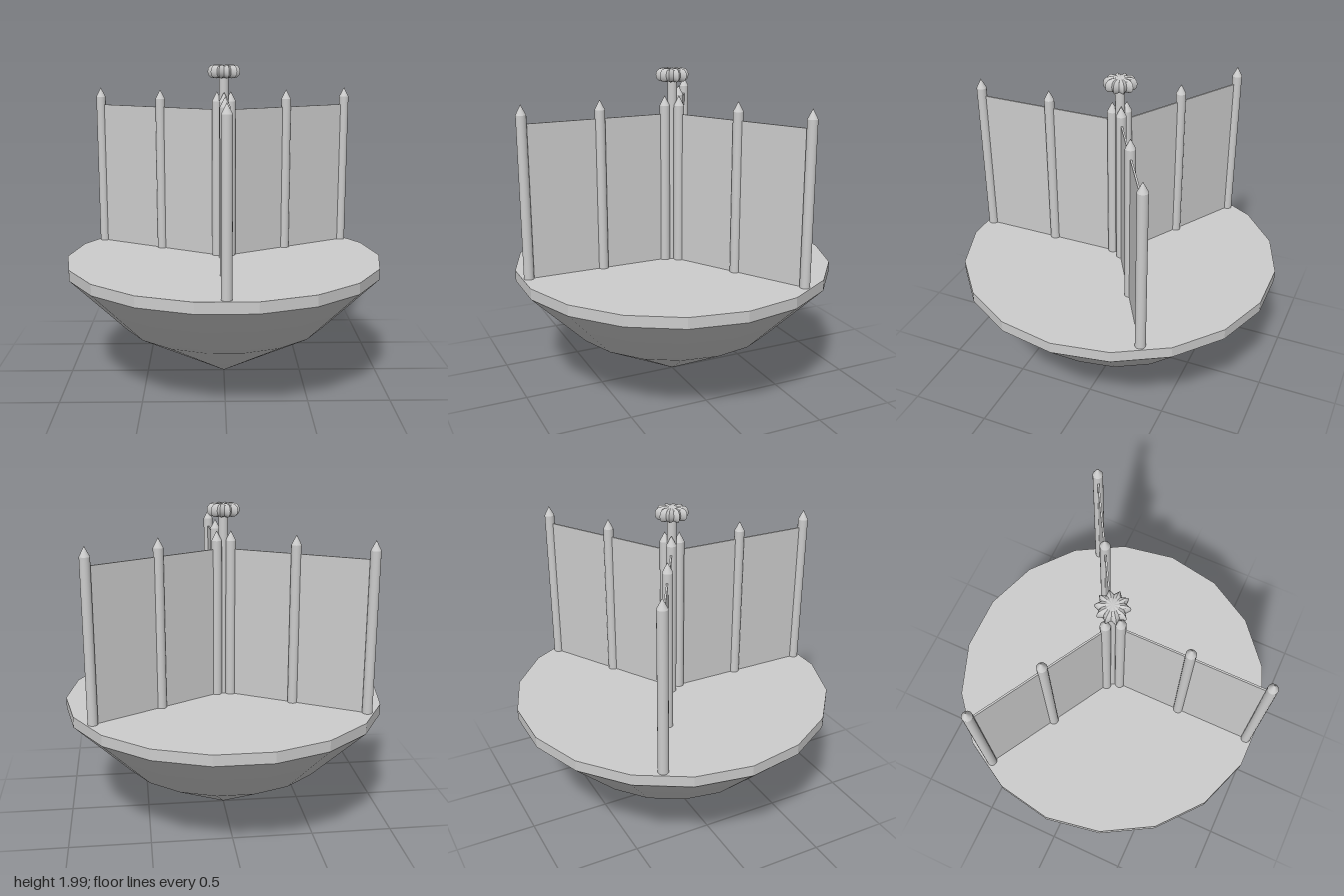
import * as THREE from 'three';
import { mergeVertices, toCreasedNormals } from 'three/addons/utils/BufferGeometryUtils.js';

const DECK_TOP = 0.786;
const SIDES = 18;

export function createModel() {
  const model = new THREE.Group();
  model.name = 'partitionedTop';
  const grey = new THREE.MeshStandardMaterial({ color: 0xcccccc });
  grey.name = 'light grey';

  const add = (parent, name, geometry, x = 0, y = 0, z = 0) => {
    const mesh = new THREE.Mesh(geometry, grey);
    mesh.name = name;
    mesh.position.set(x, y, z);
    parent.add(mesh);
    return mesh;
  };
  const profile = (points) => points.map(([r, y]) => new THREE.Vector2(r, y));

  // Round deck with a faceted rim
  const deckGeometry = new THREE.CylinderGeometry(1, 1, DECK_TOP - 0.718, SIDES);
  const deck = add(model, 'deck', toCreasedNormals(deckGeometry, 0.2), 0, (DECK_TOP + 0.718) / 2, 0);
  deck.rotation.y = Math.PI / SIDES;

  // Smooth bowl tapering to a point
  const bowl = add(model, 'bowl', new THREE.LatheGeometry(
    profile([[0, 0.004], [0.648, 0.365], [1, 0.718]]), SIDES));
  bowl.rotation.y = Math.PI / SIDES;

  // Three walls, each with three pointed posts
  const postRadius = 0.031;
  const postGeometry = new THREE.CylinderGeometry(postRadius, postRadius, 1.77 - DECK_TOP, 20);
  const tipGeometry = new THREE.ConeGeometry(postRadius, 0.06, 20);
  const panelGeometry = new THREE.BoxGeometry(0.011, 1.718 - DECK_TOP, 0.895);
  for (let i = 0; i < 3; i++) {
    const wall = new THREE.Group();
    wall.name = 'wall' + (i + 1);
    wall.rotation.y = i * Math.PI * 2 / 3;
    add(wall, 'panel', panelGeometry, 0, (1.718 + DECK_TOP) / 2, 0.4975);
    for (const z of [0.05, 0.47, 0.945]) {
      add(wall, 'post', postGeometry, 0, (1.77 + DECK_TOP) / 2, z);
      add(wall, 'postTip', tipGeometry, 0, 1.80, z);
    }
    model.add(wall);
  }

  // Central spindle
  add(model, 'spindle', new THREE.CylinderGeometry(0.029, 0.029, 1.93 - DECK_TOP, 20),
    0, (1.93 + DECK_TOP) / 2, 0);

  // Ten-pointed knob: a rounded disc with every other meridian pulled in
  const points = 10;
  const rings = profile([[0, 1.912], [0.06, 1.912], [0.082, 1.917], [0.096, 1.932], [0.1, 1.952],
    [0.096, 1.972], [0.082, 1.988], [0.06, 1.993], [0, 1.993]]);
  let knob = new THREE.LatheGeometry(rings, points * 2);
  const p = knob.attributes.position;
  for (let i = 0; i < p.count; i++) {
    const meridian = Math.floor(i / rings.length);
    if (meridian % 2 === 0) {
      const y = p.getY(i);
      p.setXYZ(i, p.getX(i) * 0.74, 1.952 + (y - 1.952) * 0.88, p.getZ(i) * 0.74);
    }
    if (i % rings.length === 0) p.setY(i, 1.914);
    if (i % rings.length === rings.length - 1) p.setY(i, 1.991);
  }
  knob.deleteAttribute('uv');
  knob.deleteAttribute('normal');
  knob = toCreasedNormals(mergeVertices(knob, 1e-4), 0.6);
  add(model, 'knob', knob);

  return model;
}
